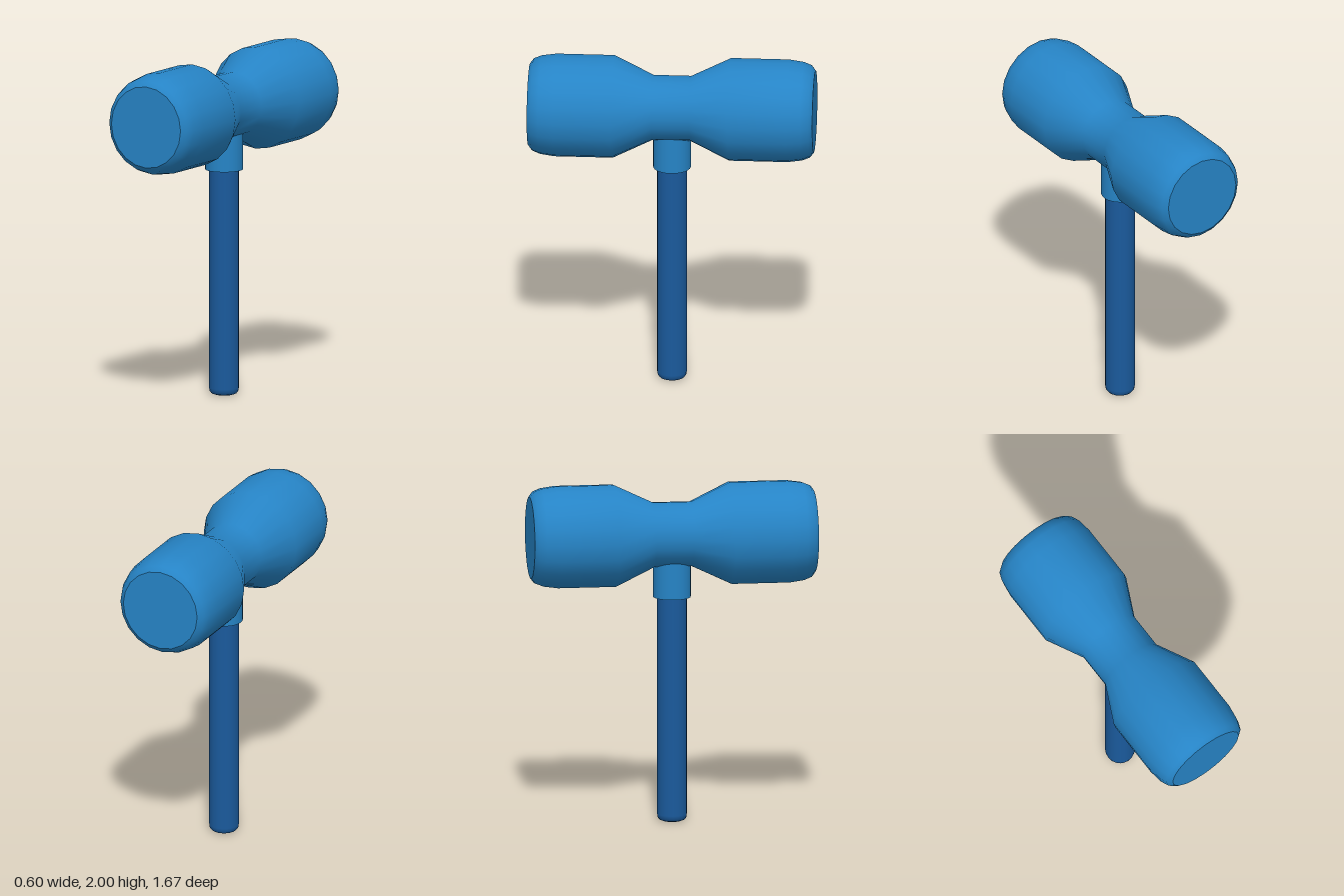
import * as THREE from 'three';
import { mergeGeometries } from 'three/addons/utils/BufferGeometryUtils.js';

const headMaterial = new THREE.MeshStandardMaterial({ color: 0x2684c6 });
const handleMaterial = new THREE.MeshStandardMaterial({ color: 0x1a5a9c });

// Turned solid from [radius, height] points, bottom to top, with crisp flat ends
function turned(name, profile, sides, material) {
  const lathe = (pts) => new THREE.LatheGeometry(pts.map(([r, y]) => new THREE.Vector2(r, y)), sides);
  const first = profile[0], last = profile[profile.length - 1];
  const geometry = mergeGeometries([
    lathe([[0, first[1]], first]),
    lathe(profile),
    lathe([last, [0, last[1]]]),
  ]);
  const mesh = new THREE.Mesh(geometry, material);
  mesh.name = name;
  return mesh;
}

export function createModel() {
  const model = new THREE.Group();
  model.name = 'mallet';

  // Double-ended head: narrow waist, full barrels, rounded rims
  const half = [[0.19, 0.11], [0.3, 0.34], [0.3, 0.68], [0.288, 0.765], [0.27, 0.81], [0.24, 0.833]];
  const mirrored = half.map(([r, y]) => [r, -y]).reverse();
  const head = turned('head', [...mirrored, ...half], 20, headMaterial);
  head.rotation.x = Math.PI / 2;
  head.position.y = 1.7;
  model.add(head);

  // Socket joining the handle to the waist
  model.add(turned('collar', [[0.11, 1.33], [0.11, 1.65]], 24, headMaterial));

  // Round handle with a softened butt end
  model.add(turned('handle', [[0.055, 0], [0.074, 0.007], [0.084, 0.02], [0.087, 0.04], [0.087, 1.6]], 20, handleMaterial));

  return model;
}
